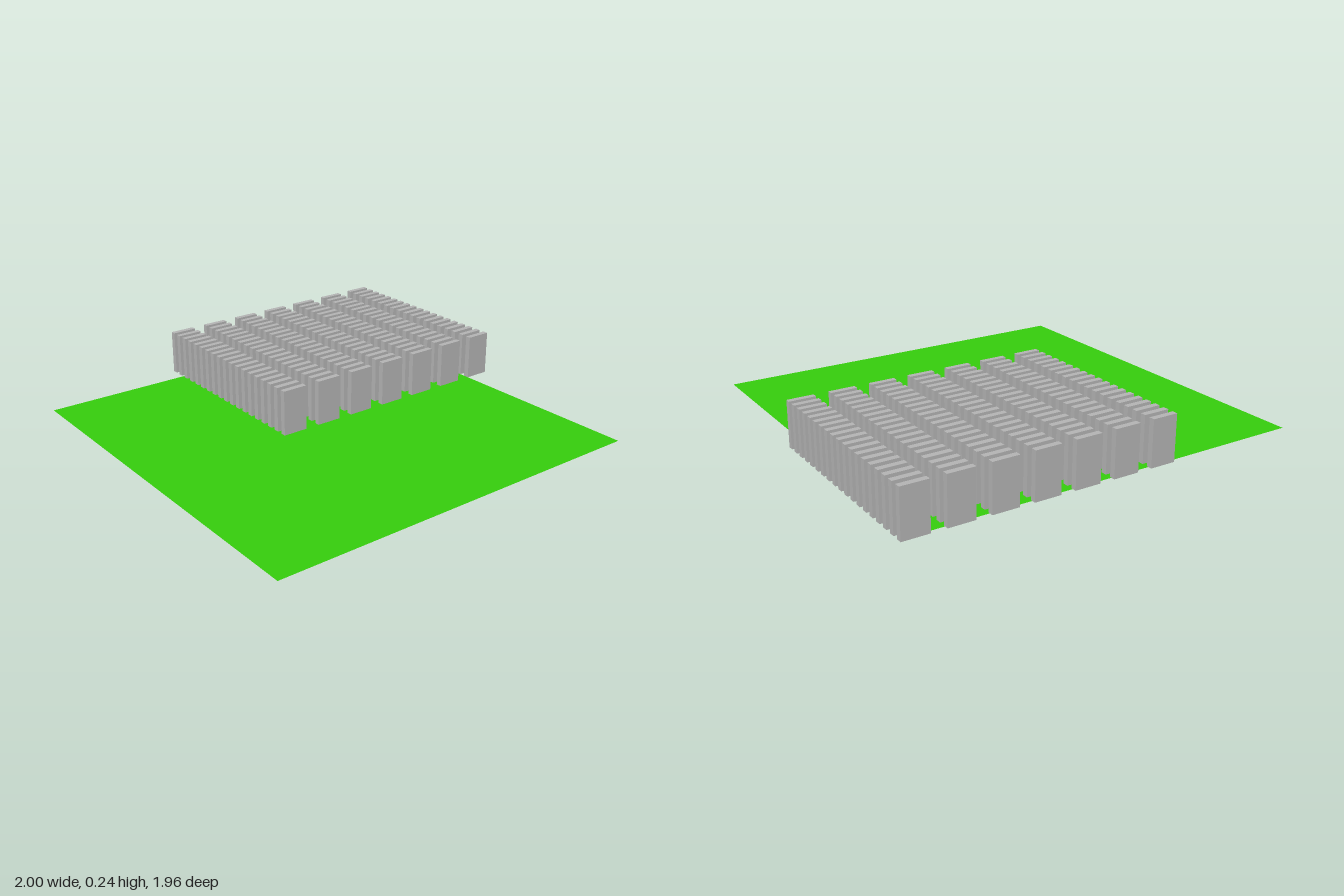
import * as THREE from 'three';

export function createModel() {
  const model = new THREE.Group();
  const grass = new THREE.MeshStandardMaterial({ color: 0x35cc0d, side: THREE.DoubleSide });
  grass.name = 'grass green';
  const stone = new THREE.MeshStandardMaterial({ color: 0xb3b3b3 });
  stone.name = 'stone grey';

  // Flat square lawn
  const lawn = new THREE.Mesh(new THREE.PlaneGeometry(1.91, 1.91).rotateX(-Math.PI / 2), grass);
  lawn.name = 'lawn';
  lawn.position.set(-0.045, 0, 0.025);
  model.add(lawn);

  // Upright slabs: 7 columns by 19 rows, hovering just above the lawn
  const columns = 7, rows = 19;
  const width = 0.125, height = 0.219, depth = 0.027;
  const slabGeometry = new THREE.BoxGeometry(width, height, depth);
  const slabs = new THREE.Group();
  slabs.name = 'slabs';
  for (let c = 0; c < columns; c++) {
    for (let r = 0; r < rows; r++) {
      const slab = new THREE.Mesh(slabGeometry, stone);
      slab.name = 'slab';
      slab.position.set(
        THREE.MathUtils.lerp(-0.2325, 0.9375, c / (columns - 1)),
        0.0195 + height / 2,
        THREE.MathUtils.lerp(-0.9675, 0.0185, r / (rows - 1))
      );
      slabs.add(slab);
    }
  }
  model.add(slabs);
  return model;
}
